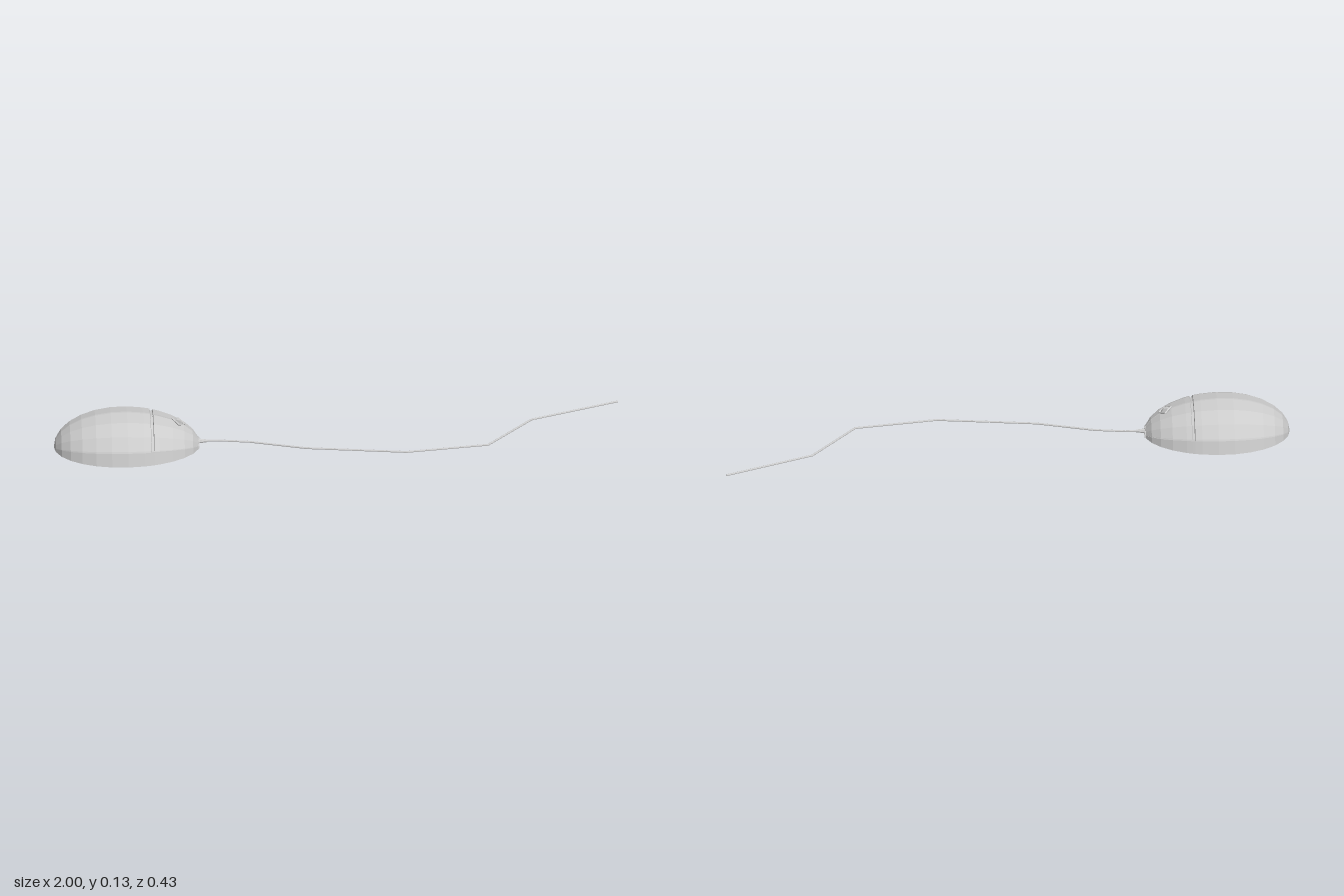
import * as THREE from 'three';

const grey = new THREE.MeshStandardMaterial({ color: 0xcccccc, flatShading: true, side: THREE.DoubleSide });
const CX = -0.7425, CZ = 0.045, LEN = 0.2575, HEIGHT = 0.134, WIDTH = 0.169;

function part(name, geometry, x = 0, y = 0, z = 0) {
  const mesh = new THREE.Mesh(geometry, grey);
  mesh.name = name;
  mesh.position.set(x, y, z);
  return mesh;
}

// Point on the egg-shaped half dome: t runs nose to tail, p runs left to right over the top
function domePoint(t, p, sink) {
  const r = Math.sin(t) * (1 - 0.05 * Math.cos(t)) * sink;
  return [CX + LEN * Math.cos(t), HEIGHT * r * Math.sin(p), CZ + WIDTH * r * Math.cos(p)];
}

// Open shell whose grid is refined along the button seams so that they can be sunk
function shellGeometry() {
  const seamT = Math.acos((-0.655 - CX) / LEN);
  const seamsP = [Math.PI / 8, Math.PI / 2, Math.PI * 7 / 8];
  const outer = 0.024, inner = 0.016;
  const around = s => [s - outer, s - inner, s + inner, s + outer];
  const ts = around(seamT), ps = seamsP.flatMap(around);
  for (let k = 0; k <= 14; k++) ts.push(k * Math.PI / 14);
  for (let k = 0; k <= 8; k++) if (![1, 4, 7].includes(k)) ps.push(k * Math.PI / 8);
  ts.sort((a, b) => a - b);
  ps.sort((a, b) => a - b);

  const near = (a, b) => Math.abs(a - b) < inner + 1e-5;
  const positions = [], index = [];
  for (const t of ts) for (const p of ps) {
    const across = near(t, seamT) && p > seamsP[0] - outer / 1.3 && p < seamsP[2] + outer / 1.3;
    const along = t < seamT + inner + 1e-5 && seamsP.some(s => near(p, s));
    positions.push(...domePoint(t, p, across || along ? 0.95 : 1));
  }
  const n = ps.length;
  for (let i = 0; i < ts.length - 1; i++) for (let j = 0; j < n - 1; j++) {
    const a = i * n + j, b = a + n;
    index.push(a, a + 1, b, a + 1, b + 1, b);
  }
  const g = new THREE.BufferGeometry();
  g.setAttribute('position', new THREE.Float32BufferAttribute(positions, 3));
  g.setIndex(index);
  g.computeVertexNormals();
  return g;
}

// Thin cable with mitred corners, bent from a straight cylinder
function cableGeometry(path, radius, y) {
  const pts = path.map(([x, z]) => new THREE.Vector2(x, z));
  const last = pts.length - 1;
  const g = new THREE.CylinderGeometry(radius, radius, 1, 8, last);
  const pos = g.attributes.position;
  for (let k = 0; k < pos.count; k++) {
    const i = Math.round((pos.getY(k) + 0.5) * last);
    const before = pts[Math.max(i, 1)].clone().sub(pts[Math.max(i, 1) - 1]).normalize();
    const j = Math.min(i, last - 1);
    const after = pts[j + 1].clone().sub(pts[j]).normalize();
    const dir = before.clone().add(after).normalize();
    const side = pos.getX(k) / dir.dot(after);
    pos.setXYZ(k, pts[i].x - dir.y * side, y + pos.getZ(k), pts[i].y + dir.x * side);
  }
  g.computeVertexNormals();
  return g;
}

export function createModel() {
  const model = new THREE.Group();
  model.name = 'computerMouse';
  model.add(part('bodyShell', shellGeometry()));

  // Scroll wheel in its diamond-shaped frame, tilted to the slope of the shell
  const frame = new THREE.TorusGeometry(0.024, 0.004, 4, 4);
  frame.rotateX(-Math.PI / 2);
  frame.rotateZ(-0.49);
  model.add(part('wheelFrame', frame, -0.56, 0.093, CZ));
  const wheel = new THREE.CylinderGeometry(0.02, 0.02, 0.014, 10);
  wheel.rotateX(Math.PI / 2);
  model.add(part('scrollWheel', wheel, -0.566, 0.083, CZ));

  // Arched cable outlet at the nose and the tapered sleeve inside it
  const arch = new THREE.TorusGeometry(0.029, 0.004, 6, 8, Math.PI);
  arch.rotateY(Math.PI / 2);
  arch.scale(1, 0.85, 1);
  model.add(part('cableOutlet', arch, -0.49, 0, CZ));
  const sleeve = new THREE.CylinderGeometry(0.005, 0.01, 0.04, 8);
  sleeve.rotateZ(-Math.PI / 2);
  model.add(part('cableSleeve', sleeve, -0.478, 0.013, 0.042));

  const path = [[-0.5, 0.041], [-0.42, 0.041], [-0.31, 0.056], [-0.11, 0.113],
    [0.24, 0.156], [0.53, 0.111], [0.69, -0.08], [0.999, -0.209]];
  model.add(part('cable', cableGeometry(path, 0.0035, 0.0135)));
  return model;
}
